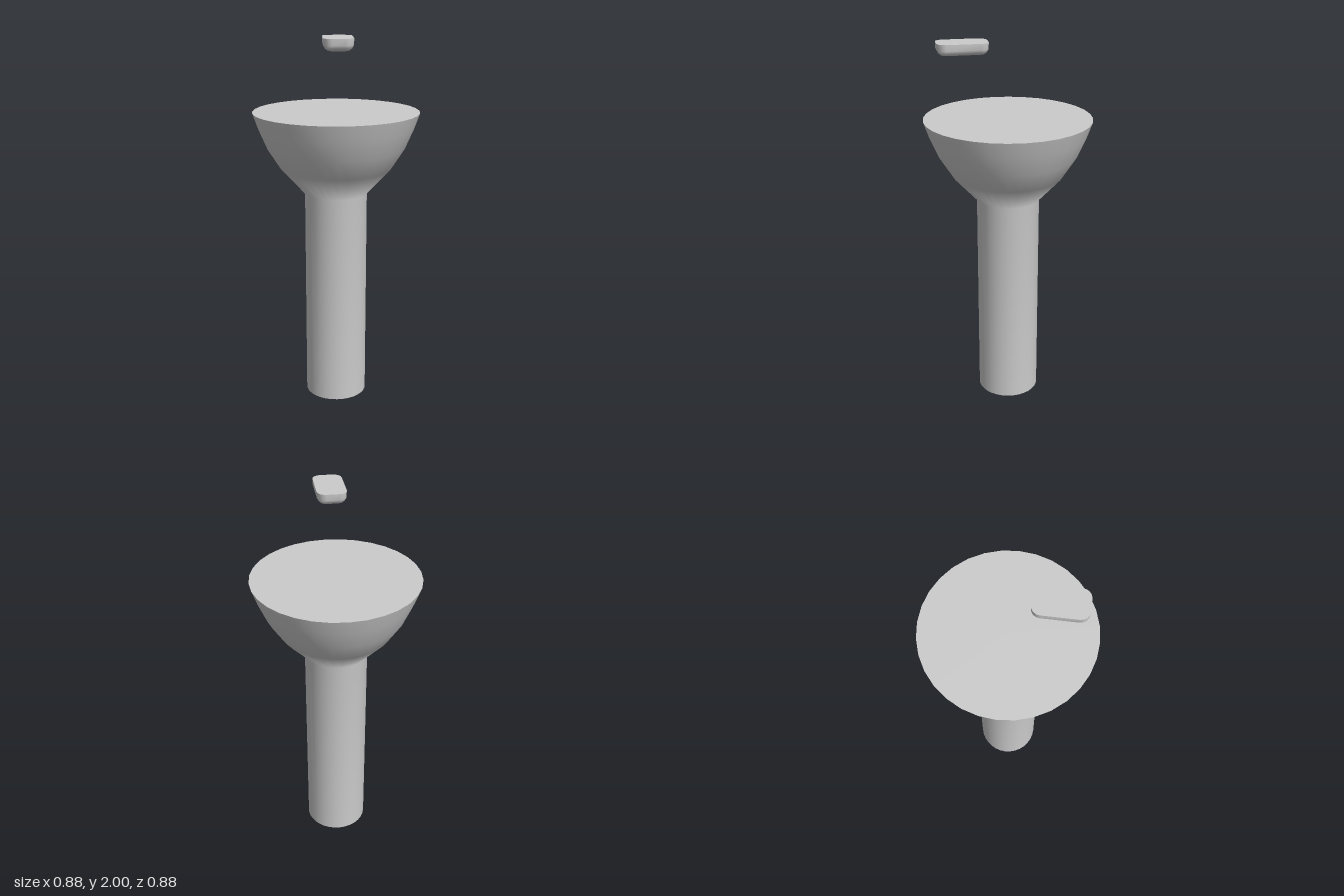
import * as THREE from 'three';

const material = new THREE.MeshStandardMaterial({ color: 0xcccccc });
const SIDES = 32;

function addMesh(parent, name, geometry) {
  const mesh = new THREE.Mesh(geometry, material);
  mesh.name = name;
  parent.add(mesh);
  return mesh;
}

// Flat disc at height y, facing up or down
function disc(radius, y, up) {
  const g = new THREE.CircleGeometry(radius, SIDES);
  g.rotateX(up ? -Math.PI / 2 : Math.PI / 2);
  return g.translate(0, y, 0);
}

// Rounded rectangle outline in x and z, counter-clockwise seen from above
function outline(halfX, halfZ, r) {
  const steps = 4, points = [];
  for (let c = 0; c < 4; c++) {
    const sx = c === 0 || c === 3 ? 1 : -1;
    const sz = c < 2 ? -1 : 1;
    for (let i = 0; i <= steps; i++) {
      const a = (c + i / steps) * Math.PI / 2;
      points.push([sx * (halfX - r) + r * Math.cos(a), sz * (halfZ - r) - r * Math.sin(a)]);
    }
  }
  return points;
}

// Skin joining rings from bottom to top, closed below
function loft(rings) {
  const n = rings[0].points.length, pos = [], index = [];
  rings.forEach(({ points, y }) => points.forEach(([x, z]) => pos.push(x, y, z)));
  for (let k = 0; k < rings.length - 1; k++) {
    for (let i = 0; i < n; i++) {
      const a = k * n + i, b = k * n + (i + 1) % n;
      index.push(a, b, b + n, a, b + n, a + n);
    }
  }
  const centre = pos.length / 3;
  pos.push(0, rings[0].y, 0);
  for (let i = 0; i < n; i++) index.push(centre, (i + 1) % n, i);
  const g = new THREE.BufferGeometry();
  g.setAttribute('position', new THREE.Float32BufferAttribute(pos, 3));
  g.setIndex(index);
  g.computeVertexNormals();
  return g;
}

export function createModel() {
  const model = new THREE.Group();
  model.name = 'pedestalBasin';

  // Column flaring into the bowl
  const profile = [
    [0.167, 0], [0.167, 1.16], [0.295, 1.3], [0.365, 1.41], [0.412, 1.52], [0.44, 1.6],
  ].map(([r, y]) => new THREE.Vector2(r, y));
  addMesh(model, 'columnAndBowl', new THREE.LatheGeometry(profile, SIDES));
  addMesh(model, 'bowlTop', disc(0.44, 1.6, true));
  addMesh(model, 'columnBase', disc(0.167, 0, false));

  // Small floating block with a flat top and rounded underside
  const block = new THREE.Group();
  block.name = 'floatingBlock';
  block.position.z = 0.232;
  model.add(block);
  const levels = [[1.94, 0.034], [1.944, 0.02], [1.953, 0.009], [1.968, 0.001], [2, 0]];
  const rings = levels.map(([y, inset]) => ({
    y, points: outline(0.075 - inset, 0.13 - inset, 0.044 - inset),
  }));
  addMesh(block, 'blockBody', loft(rings));

  const top = new THREE.Shape(outline(0.075, 0.13, 0.044).map(([x, z]) => new THREE.Vector2(x, -z)));
  addMesh(block, 'blockTop', new THREE.ShapeGeometry(top).rotateX(-Math.PI / 2).translate(0, 2, 0));

  return model;
}
